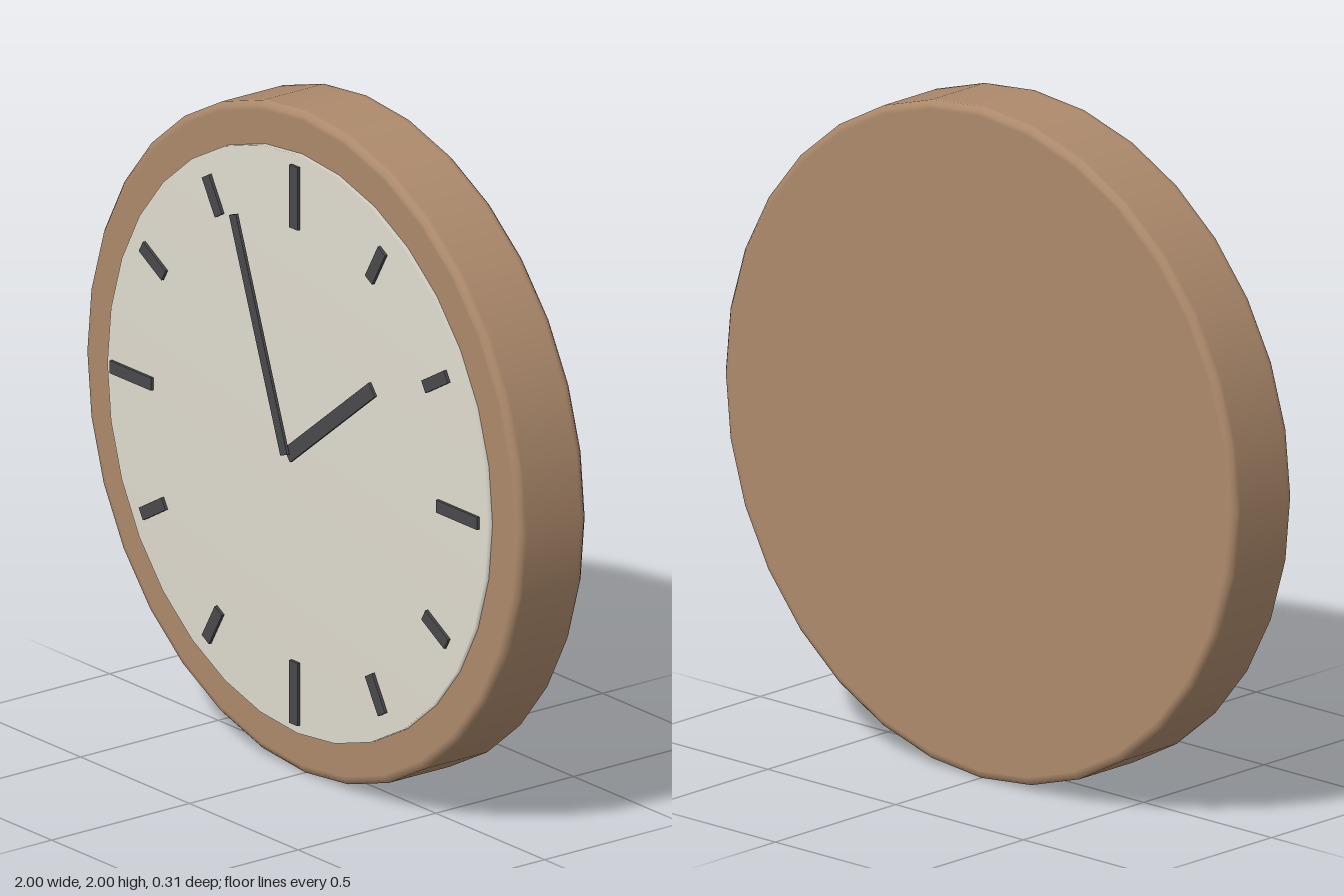
import * as THREE from 'three';

const wood = new THREE.MeshStandardMaterial({ color: 0xad8a6c });
wood.name = 'wood';
const ivory = new THREE.MeshStandardMaterial({ color: 0xe0dcd0 });
ivory.name = 'ivory';
const charcoal = new THREE.MeshStandardMaterial({ color: 0x4a4a4c });
charcoal.name = 'charcoal';

const CENTRE_Y = 1;
const SIDES = 32;

// Turned disc around the z axis; profile is [radius, z] from back to front
function disc(name, profile, material) {
  const points = profile.map(([r, z]) => new THREE.Vector2(r, z));
  const geometry = new THREE.LatheGeometry(points, SIDES).rotateX(Math.PI / 2);
  const mesh = new THREE.Mesh(geometry, material);
  mesh.name = name;
  mesh.position.y = CENTRE_Y;
  return mesh;
}

// Thin flat bar between two points of the dial
function bar(name, [x0, y0], [x1, y1], width, z, depth) {
  const length = Math.hypot(x1 - x0, y1 - y0);
  const mesh = new THREE.Mesh(new THREE.BoxGeometry(width, length, depth), charcoal);
  mesh.name = name;
  mesh.position.set((x0 + x1) / 2, (y0 + y1) / 2, z);
  mesh.rotation.z = -Math.atan2(x1 - x0, y1 - y0);
  return mesh;
}

export function createModel() {
  const clock = new THREE.Group();
  clock.name = 'wallClock';

  // Wooden case with a narrow softened edge
  clock.add(disc('case', [
    [0, -0.155], [0.975, -0.155], [0.988, -0.155], [1, -0.143], [1, -0.13],
    [1, 0.065], [1, 0.078], [0.988, 0.09], [0.975, 0.09], [0, 0.09],
  ], wood));

  // Dial, softly shaded out to its rim
  clock.add(disc('dial', [[0.875, 0.085], [0.875, 0.107], [0, 0.107]], ivory));

  // Hour marks, longer at the quarters
  const marks = new THREE.Group();
  marks.name = 'hourMarks';
  for (let i = 0; i < 12; i++) {
    const a = (i * Math.PI) / 6;
    const half = i % 3 === 0 ? 0.095 : 0.06;
    const at = (r) => [Math.sin(a) * r, CENTRE_Y + Math.cos(a) * r];
    marks.add(bar('hourMark', at(0.75 - half), at(0.75 + half), 0.038, 0.118, 0.009));
  }
  clock.add(marks);

  // Hands
  clock.add(bar('hourHand', [-0.007, 0.972], [0.383, 1.28], 0.045, 0.136, 0.009));
  clock.add(bar('minuteHand', [-0.004, 0.976], [-0.24, 1.638], 0.033, 0.15, 0.009));

  return clock;
}
